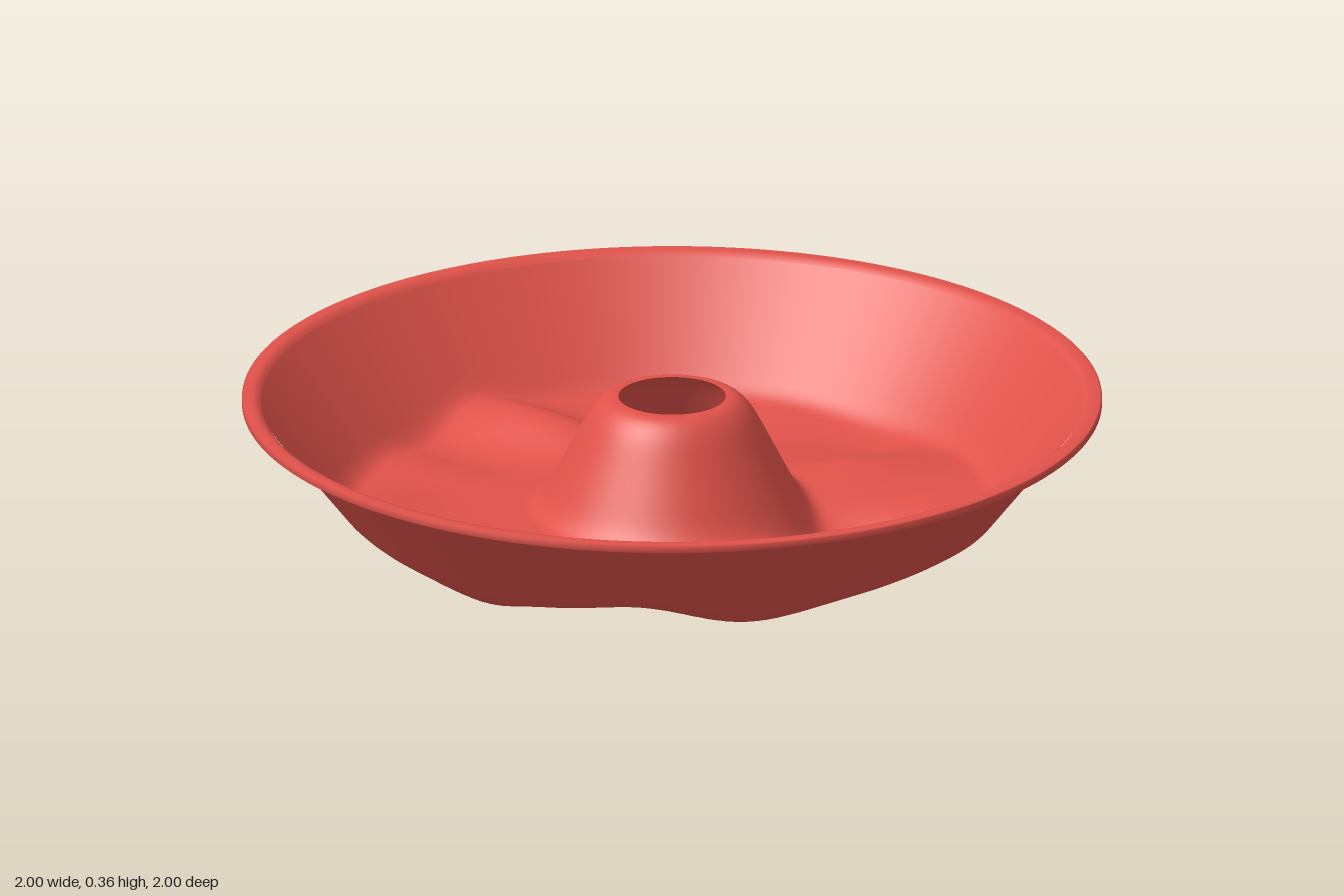
import * as THREE from 'three';

const RINGS = 80, SEGS = 180;
const HOLE_R = 0.125, RIM_IN = 0.955;

// Soft swellings and hollows of the floor: x, z, height, length, width, turn
const BUMPS = [
  [-0.54, -0.17, 0.055, 0.3, 0.1, 0.05],
  [-0.25, -0.48, -0.03, 0.28, 0.15, -0.5],
  [0.02, -0.65, -0.02, 0.18, 0.12, 0],
  [0.2, -0.45, 0.03, 0.2, 0.1, -1],
  [0.4, -0.18, -0.085, 0.2, 0.13, -0.5],
  [0.54, 0.06, 0.03, 0.25, 0.13, -0.7],
  [0.6, 0.41, -0.035, 0.16, 0.12, 2.1],
  [0.4, 0.6, 0.03, 0.13, 0.12, 0],
  [0.03, 0.6, -0.045, 0.13, 0.2, 0],
  [-0.2, 0.56, 0.035, 0.2, 0.09, -0.45],
  [-0.5, 0.48, 0.02, 0.12, 0.12, 0],
  [-0.62, 0.03, -0.02, 0.2, 0.09, 0],
];

// Smooth blend between the walls and the floor
function softMax(a, b, k) {
  const h = Math.max(k - Math.abs(a - b), 0) / k;
  return Math.max(a, b) + h * h * k * 0.25;
}

function floorHeight(x, z) {
  let y = 0.083;
  for (const [bx, bz, h, length, width, turn] of BUMPS) {
    const dx = x - bx, dz = z - bz;
    const u = (dx * Math.cos(turn) + dz * Math.sin(turn)) / length;
    const v = (dz * Math.cos(turn) - dx * Math.sin(turn)) / width;
    y += h * Math.exp(-(u * u + v * v));
  }
  return y;
}

function bowlHeight(x, z, r) {
  const cone = -softMax(-0.355, -(0.355 - (r - 0.172) * 1.95), 0.07);
  const wall = 0.338 + (r - 0.95) * 1.28;
  return softMax(softMax(floorHeight(x, z), cone, 0.06), wall, 0.035);
}

// Polar grid from the centre hole to the rim
function bowlGeometry() {
  const positions = [], index = [];
  for (let i = 0; i <= RINGS; i++) {
    const r = HOLE_R + (RIM_IN - HOLE_R) * i / RINGS;
    for (let j = 0; j < SEGS; j++) {
      const a = j / SEGS * Math.PI * 2;
      const x = r * Math.cos(a), z = r * Math.sin(a);
      positions.push(x, bowlHeight(x, z, r), z);
      if (i === RINGS) continue;
      const p = i * SEGS + j, q = i * SEGS + (j + 1) % SEGS;
      index.push(p, q, p + SEGS, q, q + SEGS, p + SEGS);
    }
  }
  const geometry = new THREE.BufferGeometry();
  geometry.setAttribute('position', new THREE.Float32BufferAttribute(positions, 3));
  geometry.setIndex(index);
  geometry.computeVertexNormals();
  return geometry;
}

export function createModel() {
  const group = new THREE.Group();
  group.name = 'ringPan';
  const material = new THREE.MeshStandardMaterial({ color: 0xe0524a, side: THREE.DoubleSide });

  // Bowl with its wavy floor and hollow centre cone
  const bowl = new THREE.Mesh(bowlGeometry(), material);
  bowl.name = 'bowl';
  group.add(bowl);

  // Flat rim band with a closed underside
  const profile = [
    [0.95, 0.335], [0.996, 0.335], [1, 0.338], [1, 0.352],
    [0.996, 0.355], [0.975, 0.355], [0.963, 0.352], [0.954, 0.342],
  ].map(([r, y]) => new THREE.Vector2(r, y));
  const rim = new THREE.Mesh(new THREE.LatheGeometry(profile, SEGS), material);
  rim.name = 'rim';
  group.add(rim);

  return group;
}
